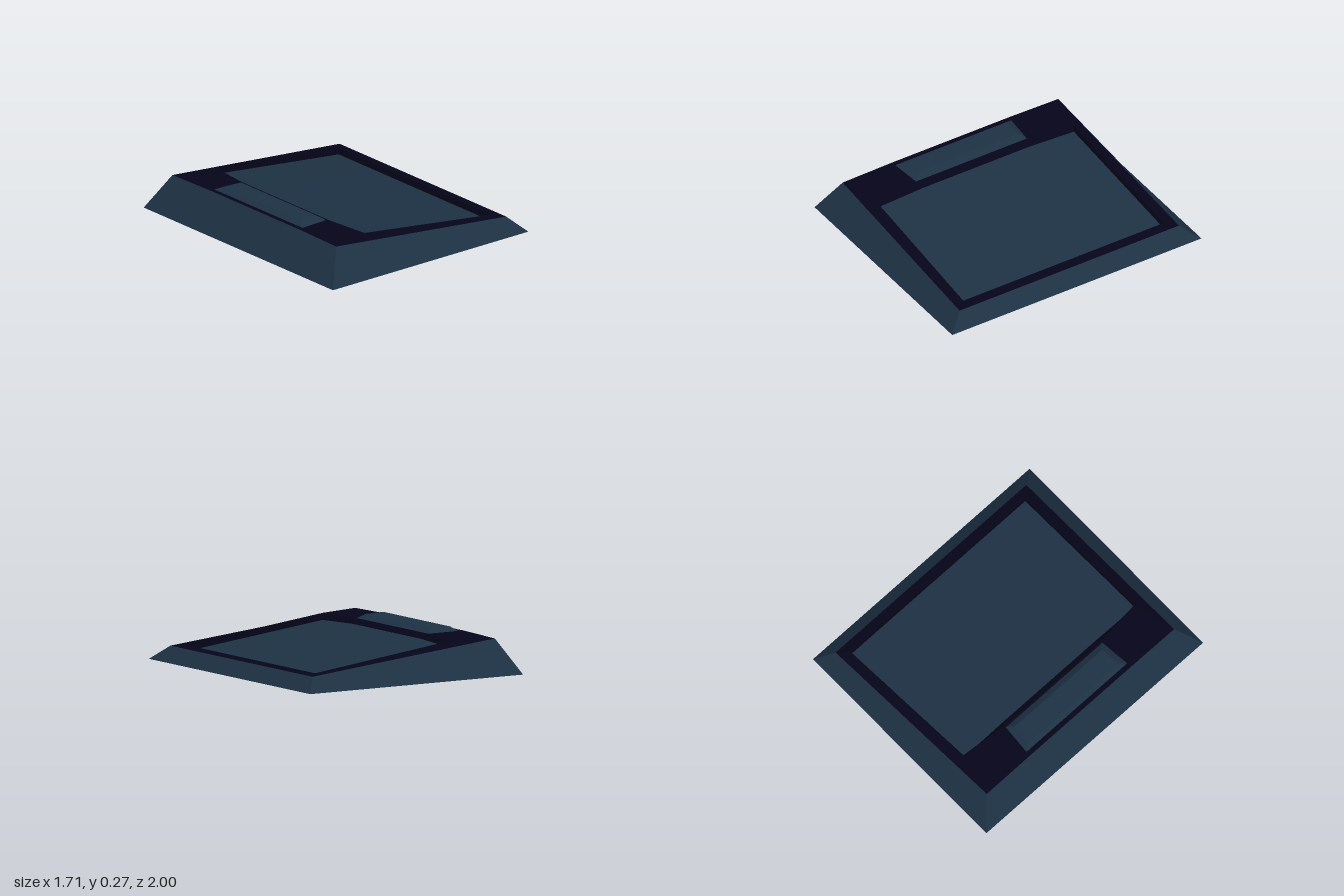
import * as THREE from 'three';

const shell = new THREE.MeshStandardMaterial({ color: 0x1d3143 });
shell.name = 'slate blue';
const dark = new THREE.MeshStandardMaterial({ color: 0x050419 });
dark.name = 'dark navy';

// Corners of the front half; a key followed by 0 means the same corner on the centre plane
const corners = {
  P: [-0.855, 0, 1], Q: [0.855, 0, 1],                                // base
  A: [-0.715, 0.241, 0.865], B: [0.76, 0.097, 0.88],                  // outer rim
  F: [-0.715, 0.248, 0.47],
  C: [0.69, 0.106, 0.805], D: [-0.405, 0.24, 0.79], E: [-0.44, 0.242, 0.46], // inner rim
  S: [-0.405, 0.192, 0.79], T: [-0.405, 0.21, 0.42],                  // panel
  U: [0.69, 0.06, 0.805], V: [0.69, 0.06, 0.42],
  a: [-0.685, 0.242, 0.475], b: [-0.45, 0.239, 0.45],                 // raised bar
  c: [-0.5, 0.273, 0.4], d: [-0.65, 0.273, 0.415],
};

function corner(key) {
  const [x, y, z] = corners[key[0]];
  return new THREE.Vector3(x, y, key.endsWith('0') ? 0 : z);
}

// Polygons of the front half, each a fan about its middle with one even normal,
// mirrored across z to make the back half
function mirrored(name, material, polygons) {
  const positions = [], normals = [];
  for (const polygon of polygons) {
    const points = polygon.split(' ').map(corner);
    const middle = new THREE.Vector3();
    const normal = new THREE.Vector3();
    points.forEach((p, i) => {
      middle.addScaledVector(p, 1 / points.length);
      normal.add(p.clone().cross(points[(i + 1) % points.length]));
    });
    normal.normalize();
    points.forEach((p, i) => {
      const tri = [middle, p, points[(i + 1) % points.length]];
      for (const v of tri) {
        positions.push(v.x, v.y, v.z);
        normals.push(normal.x, normal.y, normal.z);
      }
      for (const v of tri.reverse()) {
        positions.push(v.x, v.y, -v.z);
        normals.push(normal.x, normal.y, -normal.z);
      }
    });
  }
  const geometry = new THREE.BufferGeometry();
  geometry.setAttribute('position', new THREE.Float32BufferAttribute(positions, 3));
  geometry.setAttribute('normal', new THREE.Float32BufferAttribute(normals, 3));
  const mesh = new THREE.Mesh(geometry, material);
  mesh.name = name;
  return mesh;
}

export function createModel() {
  const group = new THREE.Group();
  group.name = 'slopedConsole';
  group.add(
    // sloping sides and underside
    mirrored('body', shell, ['P Q B A', 'P A F F0 P0', 'Q Q0 B0 B', 'P P0 Q0 Q']),
    // rim around the panel
    mirrored('rim', dark, ['A B C D', 'A D E F', 'B B0 C0 C', 'F E E0 F0']),
    // walls of the recess
    mirrored('recessWalls', dark, ['D S T E', 'E T T0 E0', 'D C U S', 'C C0 U0 U']),
    // sunken panel, parallel to the rim and slightly raised in the middle
    mirrored('panel', shell, ['S U V T', 'T V V0 T0']),
    // bevelled bar on the high side
    mirrored('raisedBar', shell, ['a b c d', 'd c c0 d0', 'b b0 c0 c', 'a d d0 a0']),
  );
  return group;
}
